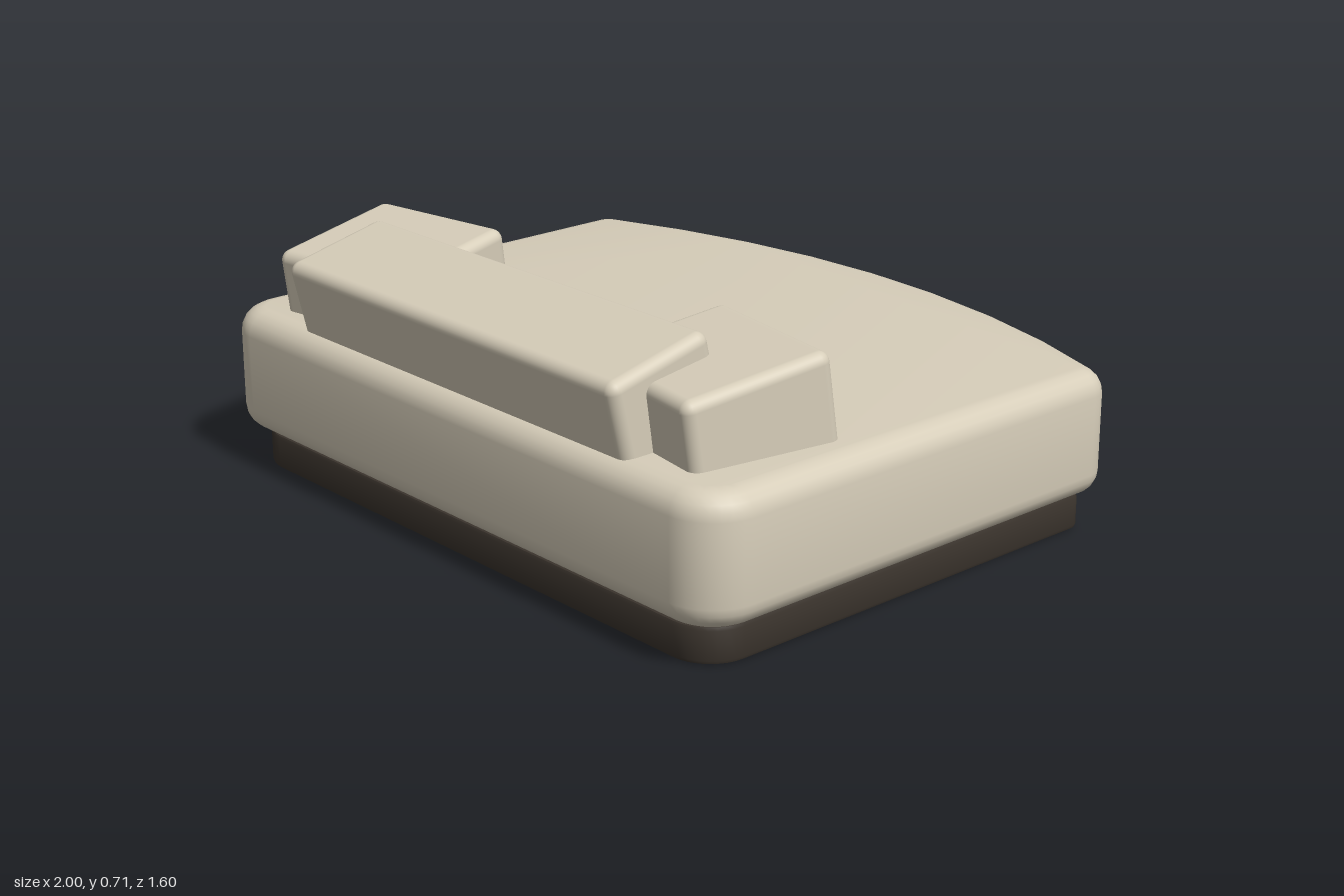
import * as THREE from 'three';
import { toCreasedNormals } from 'three/addons/utils/BufferGeometryUtils.js';
import { RoundedBoxGeometry } from 'three/addons/geometries/RoundedBoxGeometry.js';

// Slab with a straight front, rounded front corners and a bowed back edge.
function bowedSlab({ halfWidth, front, back, bowRadius, cornerRadius, bottom, top, bevel, bevelSegments }) {
  const w = halfWidth - bevel;
  const f = -(front - bevel); // shape y is -z
  const r = cornerRadius - bevel;
  const R = bowRadius - bevel;
  const c = -back - bowRadius;
  const k = 0.01; // small softening of the back corners
  const a = Math.acos((w - k) / R);
  const cornerY = c + Math.sqrt(R * R - w * w);
  const bowY = c + R * Math.sin(a);

  const s = new THREE.Shape();
  s.moveTo(-w + r, f);
  s.lineTo(w - r, f);
  s.absarc(w - r, f + r, r, -Math.PI / 2, 0);
  s.lineTo(w, cornerY - k);
  s.quadraticCurveTo(w, cornerY, w - k, bowY);
  s.absarc(0, c, R, a, Math.PI - a);
  s.quadraticCurveTo(-w, cornerY, -w, cornerY - k);
  s.lineTo(-w, f + r);
  s.absarc(-w + r, f + r, r, Math.PI, Math.PI * 1.5);

  const g = new THREE.ExtrudeGeometry(s, {
    depth: top - bottom - 2 * bevel,
    bevelEnabled: true, bevelSize: bevel, bevelThickness: bevel, bevelSegments,
    curveSegments: 4,
  });
  g.rotateX(-Math.PI / 2);
  g.translate(0, bottom + bevel, 0);
  return toCreasedNormals(g, 0.6);
}

export function createModel() {
  const fabric = new THREE.MeshStandardMaterial({ color: 0xd6cdb9 });
  fabric.name = 'beige fabric';
  const darkWood = new THREE.MeshStandardMaterial({ color: 0x3b342d });
  darkWood.name = 'dark wood';

  const group = new THREE.Group();
  group.name = 'sofa';
  const add = (name, geometry, material) => {
    const mesh = new THREE.Mesh(geometry, material);
    mesh.name = name;
    group.add(mesh);
    return mesh;
  };

  // Plinth, set in under the seat with a narrow shadow gap
  add('base', bowedSlab({
    halfWidth: 0.94, front: 0.75, back: -0.745, bowRadius: 2.67, cornerRadius: 0.12,
    bottom: 0, top: 0.1, bevel: 0.012, bevelSegments: 2,
  }), darkWood);

  // Deep seat cushion
  add('seat', bowedSlab({
    halfWidth: 1, front: 0.8, back: -0.803, bowRadius: 2.5, cornerRadius: 0.14,
    bottom: 0.108, top: 0.452, bevel: 0.065, bevelSegments: 5,
  }), fabric);

  // Long tilted bolster
  const bolster = add('bolster', new RoundedBoxGeometry(1.33, 0.3, 0.318, 4, 0.03), fabric);
  bolster.position.set(0, 0.534, 0.612);
  bolster.rotation.x = 0.235;

  // Mirrored side cushions, tilted and turned inwards
  for (const side of [-1, 1]) {
    const cushion = add(side > 0 ? 'leftCushion' : 'rightCushion',
      new RoundedBoxGeometry(0.465, 0.28, 0.42, 4, 0.03), fabric);
    cushion.position.set(side * 0.637, 0.515, 0.46);
    cushion.rotation.set(0.14, -side * 0.16, 0, 'YXZ');
  }
  return group;
}
